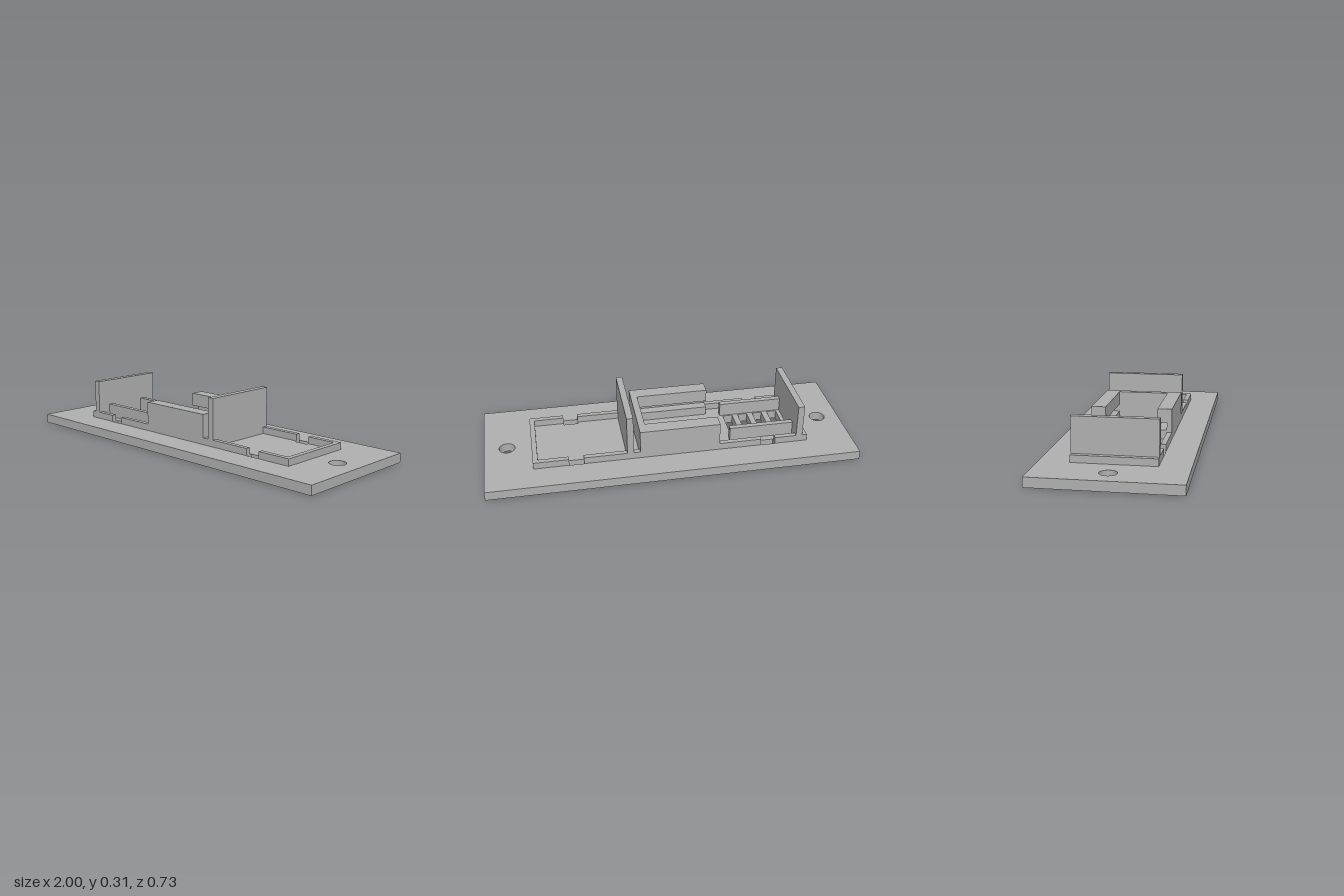
import * as THREE from 'three';

const BASE = 0.05, HALF_W = 0.2125, RIM_T = 0.027, RIM_TOP = 0.087;

export function createModel() {
  const model = new THREE.Group();
  model.name = 'mountingPlate';
  const grey = new THREE.MeshStandardMaterial({ color: 0xb0b0b0 });
  grey.name = 'plain grey';

  // Box given by its limits on each axis
  const block = (name, x0, x1, y0, y1, z0, z1) => {
    const mesh = new THREE.Mesh(new THREE.BoxGeometry(x1 - x0, y1 - y0, z1 - z0), grey);
    mesh.position.set((x0 + x1) / 2, (y0 + y1) / 2, (z0 + z1) / 2);
    mesh.name = name;
    model.add(mesh);
  };
  const rect = (path, x0, x1, y0, y1) =>
    path.moveTo(x0, y0).lineTo(x1, y0).lineTo(x1, y1).lineTo(x0, y1).closePath();

  // Base plate with screw holes, vents and clip slots
  const plate = rect(new THREE.Shape(), -1, 1, -0.367, 0.367);
  const cut = (...r) => plate.holes.push(rect(new THREE.Path(), ...r));
  for (const x of [-0.88, 0.877]) {
    plate.holes.push(new THREE.Path().absarc(x, 0, 0.043, 0, Math.PI * 2, true));
  }
  for (let i = 0; i < 4; i++) cut(-0.664 + i * 0.0865, -0.61 + i * 0.0865, -0.1, 0.1);
  const clips = [[-0.567, -0.488], [0.477, 0.556]];
  for (const [a, b] of clips) {
    cut(a, b, 0.172, HALF_W);
    cut(a, b, -HALF_W, -0.172);
  }
  const plateGeo = new THREE.ExtrudeGeometry(plate, { depth: BASE, bevelEnabled: false, curveSegments: 24 });
  plateGeo.rotateX(-Math.PI / 2);
  const base = new THREE.Mesh(plateGeo, grey);
  base.name = 'basePlate';
  model.add(base);

  // Low rim ends
  block('rimEndRight', -0.747, -0.72, BASE, RIM_TOP, -HALF_W, HALF_W);
  block('rimEndLeft', 0.718, 0.745, BASE, RIM_TOP, -HALF_W, HALF_W);

  // Tall end stops
  block('shortStop', -0.72, -0.685, BASE, 0.27, -HALF_W, HALF_W);
  block('tallStop', 0.211, 0.246, BASE, 0.306, -HALF_W, HALF_W);

  // Parts repeated on the front and back sides
  for (const s of [1, -1]) {
    const side = (name, x0, x1, y0, y1, z0, z1) =>
      block(name + (s > 0 ? 'Front' : 'Back'), x0, x1, y0, y1, Math.min(s * z0, s * z1), Math.max(s * z0, s * z1));
    const inner = HALF_W - RIM_T;
    // Rim broken at the clip slots
    side('rimA', -0.72, clips[0][0], BASE, RIM_TOP, inner, HALF_W);
    side('rimB', clips[0][1], clips[1][0], BASE, RIM_TOP, inner, HALF_W);
    side('rimC', clips[1][1], 0.718, BASE, RIM_TOP, inner, HALF_W);
    // Support rail beside the vents
    side('rail', -0.685, -0.332, BASE, 0.125, 0.108, 0.137);
    // Holder wall with a groove along its inner face
    side('holderWall', -0.257, 0.176, BASE, 0.212, inner, HALF_W);
    side('holderLowerLip', -0.257, 0.14, BASE, 0.1, 0.137, inner);
    side('holderUpperLip', -0.257, 0.14, 0.14, 0.212, 0.137, inner);
  }
  // Closed end of the holder
  block('holderEnd', 0.14, 0.176, BASE, 0.212, -HALF_W + RIM_T, HALF_W - RIM_T);

  return model;
}
